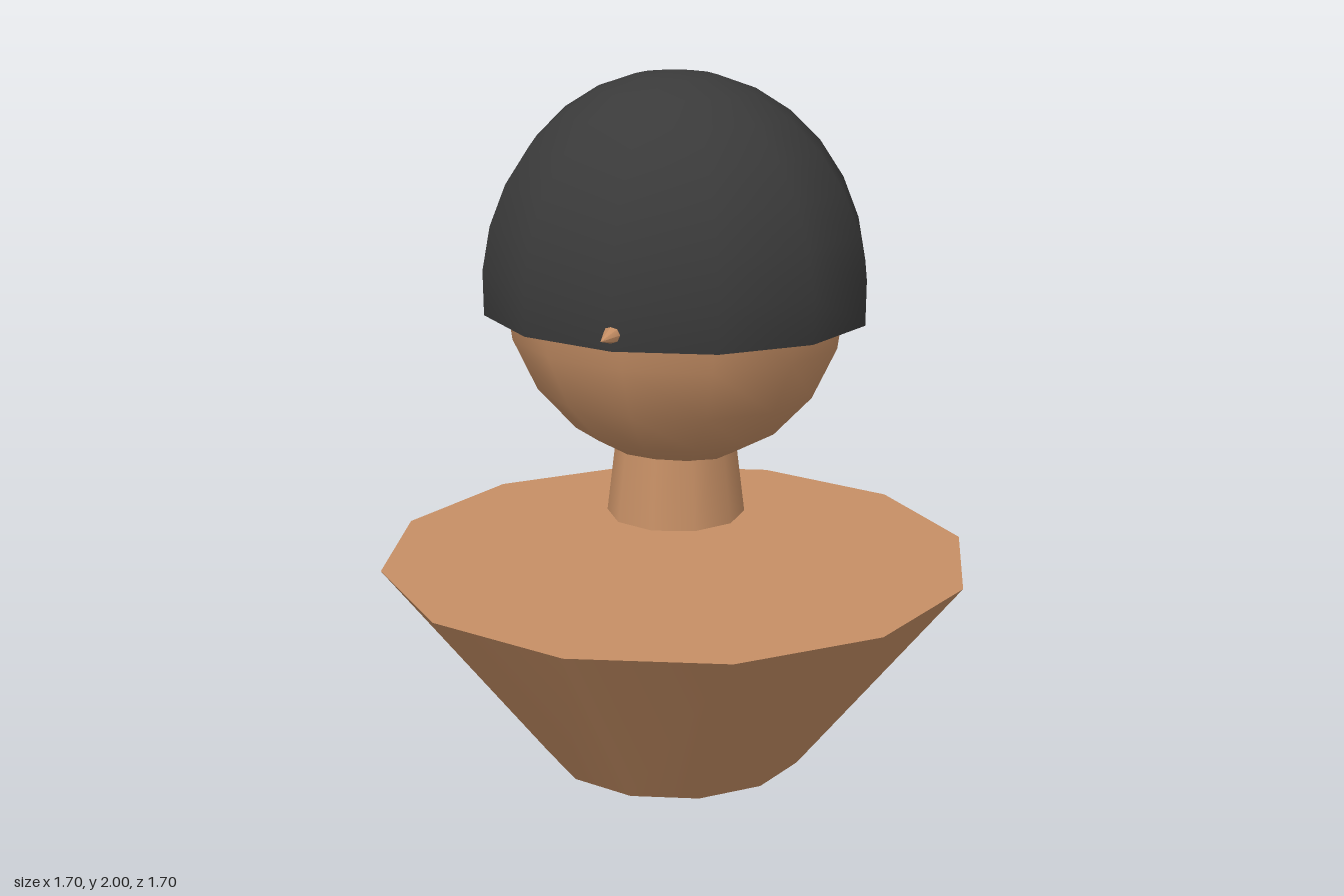
import * as THREE from 'three';

const skin = new THREE.MeshStandardMaterial({ color: 0xc68f65 });
skin.name = 'skin';
const hairColour = new THREE.MeshStandardMaterial({ color: 0x3a3a3a, side: THREE.DoubleSide });
hairColour.name = 'dark hair';

export function createModel() {
  const model = new THREE.Group();
  model.name = 'bust';

  const add = (name, geometry, material, x, y, z) => {
    const mesh = new THREE.Mesh(geometry, material);
    mesh.name = name;
    mesh.position.set(x, y, z);
    model.add(mesh);
    return mesh;
  };

  // Tapered torso, with the neck floating above it
  add('torso', new THREE.CylinderGeometry(0.85, 0.375, 0.6, 12), skin, 0, 0.3, 0);
  add('neck', new THREE.CylinderGeometry(0.165, 0.197, 0.265, 10), skin, 0, 0.8675, 0);

  // Head: a sphere slightly flattened front to back
  add('head', new THREE.SphereGeometry(1, 12, 10).scale(0.497, 0.53, 0.442), skin, 0, 1.42, 0);

  // Hair: an open cap reaching just below its widest point
  add('hair', new THREE.SphereGeometry(1, 12, 8, 0, Math.PI * 2, 0, Math.PI * 0.538)
    .scale(0.555, 0.6, 0.5), hairColour, 0, 1.4, 0);

  // Pointed nose poking out at the front
  add('nose', new THREE.ConeGeometry(0.052, 0.17, 8).rotateX(Math.PI / 2), skin, 0, 1.373, 0.485);

  // Small ears tucked under the hair
  for (const side of [1, -1]) {
    add(side > 0 ? 'leftEar' : 'rightEar',
      new THREE.SphereGeometry(1, 8, 6).scale(0.035, 0.1, 0.07), skin, side * 0.49, 1.44, 0);
  }

  return model;
}
